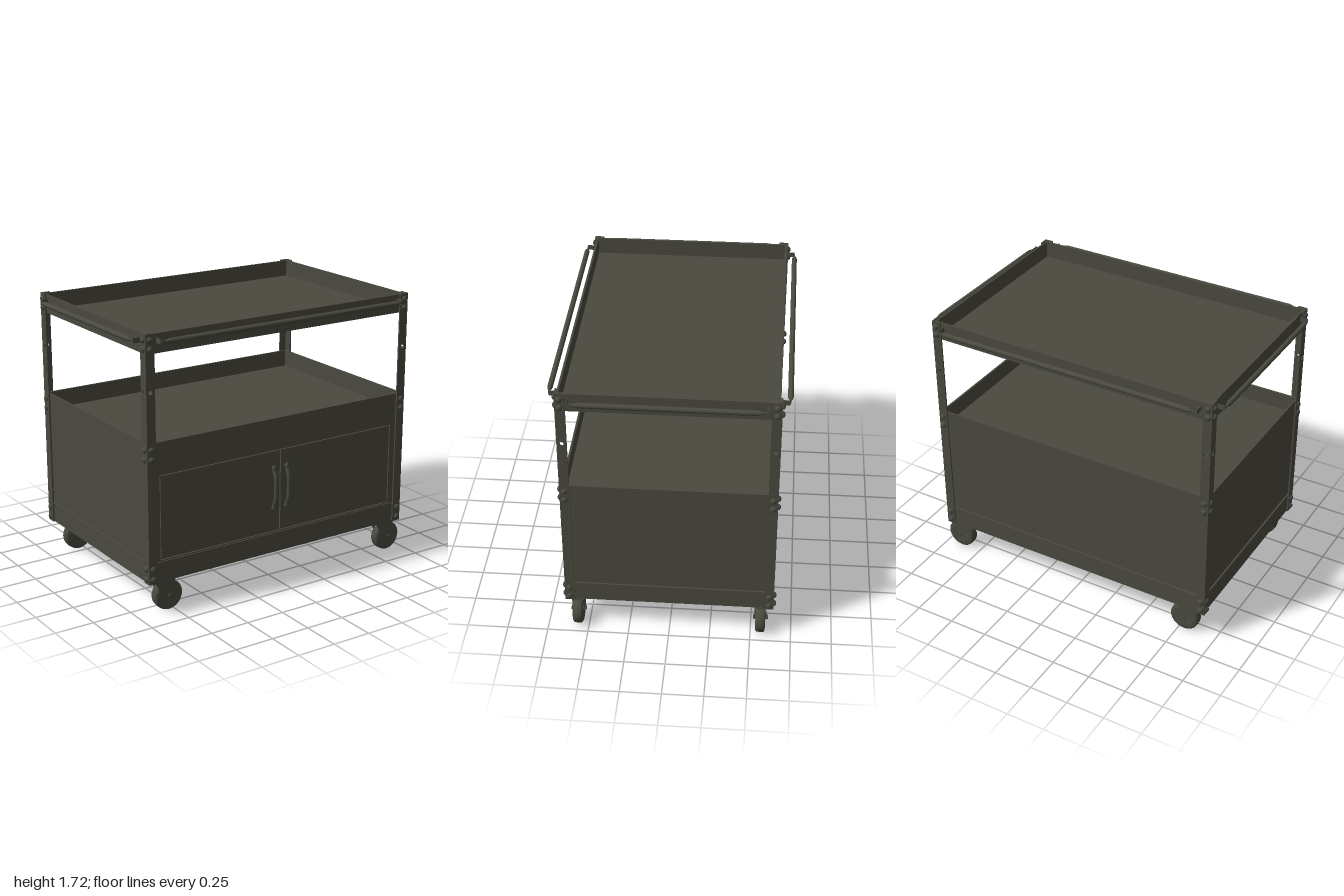
import * as THREE from 'three';

const metal = new THREE.MeshStandardMaterial({ color: 0x4b4a40 });
metal.name = 'dark olive metal';

function add(parent, name, geo, x = 0, y = 0, z = 0, ry = 0) {
  const m = new THREE.Mesh(geo, metal);
  m.name = name;
  m.position.set(x, y, z);
  m.rotation.y = ry;
  parent.add(m);
  return m;
}

// Box given by its low and high limits on each axis
function box(parent, name, x0, x1, y0, y1, z0, z1) {
  return add(parent, name, new THREE.BoxGeometry(x1 - x0, y1 - y0, z1 - z0),
    (x0 + x1) / 2, (y0 + y1) / 2, (z0 + z1) / 2);
}

// Four thin walls around a rectangle with half sizes hx and hz
function walls(parent, name, hx, hz, y0, y1, t = 0.012) {
  for (const s of [-1, 1]) {
    const cz = s * (hz - t / 2), cx = s * (hx - t / 2);
    box(parent, name, -hx, hx, y0, y1, cz - t / 2, cz + t / 2);
    box(parent, name, cx - t / 2, cx + t / 2, y0, y1, -hz + t, hz - t);
  }
}

function rect(path, x0, y0, x1, y1) {
  path.moveTo(x0, y0);
  path.lineTo(x1, y0);
  path.lineTo(x1, y1);
  path.lineTo(x0, y1);
  path.closePath();
  return path;
}

const extrude = (shape, depth) =>
  new THREE.ExtrudeGeometry(shape, { depth, bevelEnabled: false, curveSegments: 12 });

// One flange of an angle-iron post, with a round hole
function flangeGeometry() {
  const s = rect(new THREE.Shape(), -0.029, 0.21, 0.029, 1.72);
  const hole = new THREE.Path();
  hole.absarc(0, 1.38, 0.013, 0, Math.PI * 2, true);
  s.holes.push(hole);
  return extrude(s, 0.01).translate(0, 0, -0.005);
}

// Domed bolt head pointing along +z
function boltGeometry() {
  const pts = [[0.019, 0], [0.019, 0.004], [0.015, 0.011], [0.008, 0.015], [0, 0.016]];
  return new THREE.LatheGeometry(pts.map(p => new THREE.Vector2(...p)), 14).rotateX(Math.PI / 2);
}

function makePosts(parent) {
  const flange = flangeGeometry(), bolt = boltGeometry();
  const heights = [1.685, 1.63, 1.04, 0.98, 0.305, 0.24];
  for (const sx of [-1, 1]) for (const sz of [-1, 1]) {
    const post = new THREE.Group();
    post.name = 'cornerPost';
    add(post, 'postFrontFlange', flange, sx * 0.918, 0, sz * 0.632);
    add(post, 'postSideFlange', flange, sx * 0.942, 0, sz * 0.607, Math.PI / 2);
    for (const y of heights) {
      add(post, 'bolt', bolt, sx * 0.92, y, sz * 0.636, sz > 0 ? 0 : Math.PI);
      add(post, 'bolt', bolt, sx * 0.946, y, sz * 0.609, sx * Math.PI / 2);
    }
    parent.add(post);
  }
}

// Push bar with tapered ends, thin end wires and back strip, lying along x
function makeBar(parent, half, reach, ry) {
  const bar = new THREE.Group();
  bar.name = 'pushBar';
  const pts = [[0, -half + 0.02], [0.005, -half + 0.02], [0.016, -half + 0.06],
    [0.016, half - 0.06], [0.005, half - 0.02], [0, half - 0.02]];
  const grip = new THREE.LatheGeometry(pts.map(p => new THREE.Vector2(...p)), 14).rotateZ(Math.PI / 2);
  add(bar, 'grip', grip, 0, 1.675, reach);
  for (const s of [-1, 1]) {
    const x = s * half;
    box(bar, 'barEndPlate', x - 0.003, x + 0.003, 1.66, 1.69, reach - 0.06, reach);
    box(bar, 'barEndLip', Math.min(x, x - s * 0.03), Math.max(x, x - s * 0.03), 1.668, 1.682, reach - 0.003, reach + 0.003);
  }
  bar.rotation.y = ry;
  parent.add(bar);
}

// Caster whose wheel trails toward +x
function makeCaster(parent, x, z) {
  const c = new THREE.Group();
  c.name = 'caster';
  const tyre = [[0, -0.026], [0.05, -0.026], [0.055, -0.03], [0.083, -0.03], [0.093, -0.022],
    [0.095, 0], [0.093, 0.022], [0.083, 0.03], [0.055, 0.03], [0.05, 0.026], [0, 0.026]];
  add(c, 'wheel', new THREE.LatheGeometry(tyre.map(p => new THREE.Vector2(...p)), 32)
    .rotateX(Math.PI / 2), 0, 0.095, 0);
  add(c, 'axle', new THREE.CylinderGeometry(0.014, 0.014, 0.092, 12).rotateX(Math.PI / 2), 0, 0.095, 0);
  const s = new THREE.Shape();
  s.moveTo(-0.1, 0.2);
  s.quadraticCurveTo(-0.08, 0.15, -0.02, 0.085);
  s.quadraticCurveTo(0, 0.07, 0.02, 0.09);
  s.quadraticCurveTo(0.015, 0.15, 0.04, 0.2);
  s.closePath();
  const plate = extrude(s, 0.005);
  add(c, 'forkPlate', plate, 0, 0, 0.032);
  add(c, 'forkPlate', plate, 0, 0, -0.037);
  box(c, 'forkTop', -0.1, 0.04, 0.193, 0.2, -0.037, 0.037);
  add(c, 'swivel', new THREE.CylinderGeometry(0.03, 0.03, 0.016, 16), -0.035, 0.206, 0);
  c.position.set(x, 0, z);
  parent.add(c);
}

function makeDoors(parent) {
  // Front panel with one opening, and two doors just inside it
  const frame = rect(new THREE.Shape(), -0.925, 0.32, 0.925, 0.96);
  frame.holes.push(rect(new THREE.Path(), -0.857, 0.343, 0.857, 0.87));
  add(parent, 'frontPanel', extrude(frame, 0.012), 0, 0, 0.606);
  box(parent, 'cabinetLiner', -0.9, 0.9, 0.33, 0.9, 0.594, 0.6);
  for (const s of [-1, 1]) {
    const x0 = s > 0 ? 0.004 : -0.851;
    box(parent, 'door', x0, x0 + 0.847, 0.349, 0.864, 0.602, 0.616);
    // Bowed pull handle with mounting feet
    const x = s * 0.048;
    const path = new THREE.CatmullRomCurve3([[0.5, 0.618], [0.525, 0.626], [0.55, 0.637],
      [0.625, 0.64], [0.7, 0.637], [0.725, 0.626], [0.75, 0.618]]
      .map(([y, z]) => new THREE.Vector3(x, y, z)));
    add(parent, 'doorHandle', new THREE.TubeGeometry(path, 24, 0.012, 8));
    for (const y of [0.497, 0.753]) {
      add(parent, 'handleFoot', new THREE.SphereGeometry(0.017, 12, 8).scale(1, 1.25, 0.8), x, y, 0.618);
    }
  }
}

export function createModel() {
  const cart = new THREE.Group();
  cart.name = 'utilityCart';

  // Open top tray
  walls(cart, 'topTrayRim', 0.936, 0.626, 1.6, 1.715);
  box(cart, 'topTrayFloor', -0.93, 0.93, 1.6, 1.61, -0.62, 0.62);

  // Middle tray with a skirt over the cabinet
  walls(cart, 'middleTrayRim', 0.936, 0.626, 0.96, 1.075);
  box(cart, 'middleTrayFloor', -0.93, 0.93, 0.955, 0.965, -0.62, 0.62);
  for (const s of [-1, 1]) {
    box(cart, 'sideSkirt', s * 0.93 - 0.006, s * 0.93 + 0.006, 0.885, 0.96, -0.62, 0.62);
    box(cart, 'sidePanel', s * 0.919 - 0.006, s * 0.919 + 0.006, 0.32, 0.96, -0.606, 0.606);
  }
  box(cart, 'backSkirt', -0.936, 0.936, 0.885, 0.96, -0.626, -0.614);
  box(cart, 'backPanel', -0.925, 0.925, 0.32, 0.96, -0.615, -0.603);
  makeDoors(cart);

  // Base tray
  walls(cart, 'baseRim', 0.936, 0.626, 0.21, 0.335);
  box(cart, 'baseFloor', -0.93, 0.93, 0.21, 0.222, -0.62, 0.62);

  makePosts(cart);

  // Push bars on all four sides
  for (const a of [0, Math.PI]) {
    makeBar(cart, 0.87, 0.678, a);
    makeBar(cart, 0.562, 0.984, a + Math.PI / 2);
  }

  for (const x of [-0.786, 0.888]) for (const z of [-0.56, 0.565]) makeCaster(cart, x, z);
  return cart;
}
